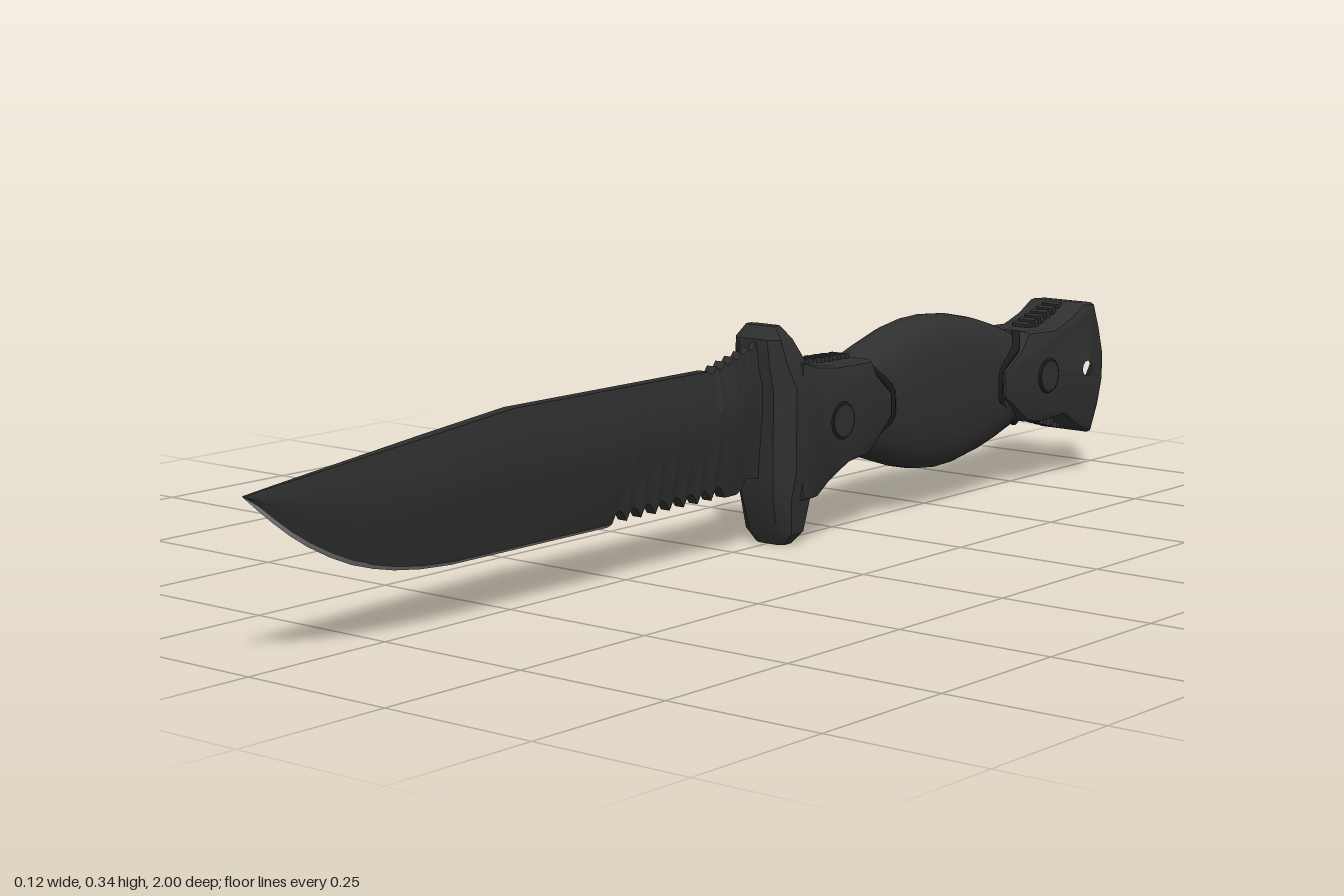
import * as THREE from 'three';
import { toCreasedNormals } from 'three/addons/utils/BufferGeometryUtils.js';

const mat = (name, color) => Object.assign(new THREE.MeshStandardMaterial({ color }), { name });

// Closed loft through rings of [x, y, z] points, wound outwards
function loft(rings, crease) {
  const n = rings[0].length, pos = rings.flat(2), idx = [];
  for (let i = 0; i < rings.length - 1; i++)
    for (let j = 0; j < n; j++) {
      const a = i * n + j, b = i * n + (j + 1) % n;
      idx.push(a, b, a + n, b, b + n, a + n);
    }
  const last = (rings.length - 1) * n;
  for (let j = 1; j < n - 1; j++) idx.push(0, j + 1, j, last, last + j, last + j + 1);
  const v = (i) => new THREE.Vector3().fromArray(pos, i * 3);
  let volume = 0;
  for (let i = 0; i < idx.length; i += 3) volume += v(idx[i]).dot(v(idx[i + 1]).cross(v(idx[i + 2])));
  if (volume < 0) idx.reverse();
  const g = new THREE.BufferGeometry();
  g.setAttribute('position', new THREE.Float32BufferAttribute(pos, 3));
  g.setIndex(idx);
  return toCreasedNormals(g, crease);
}

// Piecewise linear lookup in a table of [z, value], z falling
function lookup(table, z) {
  for (let i = 1; i < table.length; i++) {
    const [z0, a] = table[i - 1], [z1, b] = table[i];
    if (z >= z1) return a + (b - a) * THREE.MathUtils.clamp((z0 - z) / (z0 - z1), 0, 1);
  }
  return table[table.length - 1][1];
}

// Side profile in (z, y), extruded across x with chamfered rims
function slab(points, half, bevel, holes = []) {
  const shape = new THREE.Shape(points.map(([z, y]) => new THREE.Vector2(z, y)));
  for (const [z, y, r] of holes) shape.holes.push(new THREE.Path().absarc(z, y, r, 0, Math.PI * 2, true));
  const depth = 2 * (half - bevel);
  const g = new THREE.ExtrudeGeometry(shape, {
    depth, bevelThickness: bevel, bevelSize: bevel, bevelOffset: -bevel, bevelSegments: 2, curveSegments: 24,
  });
  g.translate(0, 0, -depth / 2).rotateY(-Math.PI / 2);
  return toCreasedNormals(g, 0.6);
}

export function createModel() {
  const model = new THREE.Group();
  const bladeMat = mat('black blade', 0x2e2e2e);
  const gripMat = mat('black handle', 0x303030);
  const seamMat = mat('dark seam', 0x1c1c1c);
  const edgeMat = mat('bare steel edge', 0x909090);
  const add = (name, geometry, material) => {
    const m = new THREE.Mesh(geometry, material);
    m.name = name;
    model.add(m);
    return m;
  };

  // Blade: clip point, curved belly, scalloped serrations, notched spine
  const spine = [[1, 0.24], [0.5, 0.29], [0.07, 0.29], [-0.05, 0.32], [-0.07, 0.32]];
  const belly = [[1, 0.237], [0.975, 0.216], [0.95, 0.196], [0.92, 0.174], [0.89, 0.155], [0.85, 0.134], [0.81, 0.117],
    [0.77, 0.105], [0.73, 0.096], [0.68, 0.089], [0.62, 0.085], [0, 0.085], [-0.01, 0.09], [-0.025, 0.105], [-0.07, 0.1]];
  const thick = [[1, 0.003], [0.9, 0.011], [0.65, 0.023], [0.02, 0.025], [-0.04, 0.014], [-0.07, 0.013]];
  const zs = new Set([...spine, ...belly, ...thick].map((p) => p[0]));
  const teeth = 8, z0 = 0.29, z1 = 0.03, notches = 6;
  for (let i = 0; i <= teeth * 4; i++) zs.add(z0 + (z1 - z0) * i / (teeth * 4));
  for (let i = 0; i <= notches * 4; i++) zs.add(0.07 - 0.12 * i / (notches * 4));
  const wave = (z, from, to, n) => (z < from && z > to ? Math.abs(Math.sin(Math.PI * n * (from - z) / (from - to))) : 0);
  const stations = [...zs].sort((a, b) => b - a).map((z) => ({
    z,
    top: lookup(spine, z) - 0.008 * wave(z, 0.07, -0.05, notches),
    bot: lookup(belly, z) + 0.018 * wave(z, z0, z1, teeth),
    t: lookup(thick, z),
  }));
  const bevelY = (s) => s.bot + Math.min(0.006, 0.3 * (s.top - s.bot));
  add('blade', loft(stations.map((s) => {
    const h = s.top - s.bot, low = bevelY(s);
    const side = [[0.4, s.top], [1, s.top - 0.3 * h], [1, s.bot + 0.5 * h], [0.35, low]];
    return [...side.map(([k, y]) => [k * s.t, y, s.z]), ...side.reverse().map(([k, y]) => [-k * s.t, y, s.z])];
  }), 0.3), bladeMat);
  add('sharpEdge', loft(stations.filter((s) => s.z >= z0 - 1e-6).map((s) => [
    [0.35 * s.t, bevelY(s), s.z], [0, s.bot, s.z], [-0.35 * s.t, bevelY(s), s.z],
  ]), 0.3), edgeMat);

  // Cross guard: [y, front z, back z, half width]
  const guard = [[0, -0.085, -0.112, 0.028], [0.02, -0.075, -0.125, 0.045], [0.075, -0.06, -0.14, 0.051],
    [0.12, -0.055, -0.17, 0.058], [0.25, -0.055, -0.17, 0.058], [0.28, -0.05, -0.13, 0.053],
    [0.325, -0.05, -0.097, 0.044], [0.345, -0.062, -0.082, 0.028]];
  add('guard', loft(guard.map(([y, f, b, w]) => {
    const c = (f - b) * 0.25, side = [[0.6 * w, f], [w, f - c], [w, b + c * 0.6], [0.8 * w, b]];
    return [...side.map(([x, z]) => [x, y, z]), ...side.reverse().map(([x, z]) => [-x, y, z])];
  }), 0.5), gripMat);

  // Swelling grip: [z, top, bottom, half width]
  const grip = [[-0.25, 0.255, 0.13, 0.046], [-0.28, 0.266, 0.12, 0.048], [-0.33, 0.284, 0.1, 0.05],
    [-0.4, 0.305, 0.077, 0.053], [-0.45, 0.313, 0.066, 0.054], [-0.5, 0.315, 0.061, 0.054],
    [-0.55, 0.311, 0.063, 0.054], [-0.61, 0.299, 0.073, 0.053], [-0.66, 0.284, 0.086, 0.051],
    [-0.72, 0.262, 0.105, 0.048], [-0.76, 0.25, 0.12, 0.046]];
  const pow = (v) => Math.sign(v) * Math.abs(v) ** 0.7;
  add('grip', loft(grip.map(([z, top, bot, w]) => Array.from({ length: 28 }, (_, i) => {
    const a = i / 28 * Math.PI * 2;
    return [w * pow(Math.cos(a)), (top + bot) / 2 + (top - bot) / 2 * pow(Math.sin(a)), z];
  })), 0.7), gripMat);

  // Front collar and pommel with lanyard hole
  add('frontCollar', slab([[-0.1, 0.29], [-0.14, 0.278], [-0.19, 0.272], [-0.28, 0.271], [-0.295, 0.245], [-0.335, 0.212],
    [-0.335, 0.172], [-0.275, 0.12], [-0.22, 0.113], [-0.17, 0.09], [-0.14, 0.07], [-0.1, 0.07]].reverse(), 0.059, 0.012), gripMat);
  add('pommel', slab([[-0.72, 0.265], [-0.8, 0.262], [-0.85, 0.278], [-0.885, 0.297], [-0.92, 0.294], [-0.937, 0.25],
    [-0.95, 0.205], [-0.95, 0.16], [-0.937, 0.115], [-0.915, 0.068], [-0.88, 0.08], [-0.83, 0.109], [-0.76, 0.105],
    [-0.72, 0.112], [-0.65, 0.162], [-0.65, 0.205], [-0.695, 0.235]].reverse(), 0.058, 0.012, [[-0.895, 0.183, 0.025]]), gripMat);

  // Seams around the collars, and bolts, on both sides
  const seams = [
    [[-0.283, 0.265], [-0.3, 0.245], [-0.34, 0.214], [-0.34, 0.17], [-0.28, 0.12]],
    [[-0.715, 0.262], [-0.69, 0.238], [-0.645, 0.207], [-0.645, 0.16], [-0.715, 0.112]],
  ];
  for (const s of [-1, 1]) {
    for (const points of seams) {
      const path = new THREE.CatmullRomCurve3(points.map(([z, y], i) =>
        new THREE.Vector3(s * (i % 4 ? 0.046 : 0.03), y, z)), false, 'catmullrom', 0.2);
      add('collarSeam', new THREE.TubeGeometry(path, 32, 0.008, 8), seamMat);
    }
    for (const z of [-0.2, -0.775]) {
      const bolt = add('bolt', new THREE.CylinderGeometry(0.025, 0.025, 0.01, 24), gripMat);
      bolt.rotation.z = Math.PI / 2;
      bolt.position.set(s * 0.056, 0.185, z);
      const ring = add('boltRing', new THREE.TorusGeometry(0.027, 0.003, 8, 32), seamMat);
      ring.rotation.y = Math.PI / 2;
      ring.position.set(s * 0.058, 0.185, z);
    }
  }

  // Thumb ribs along the handle's top and bottom
  const ribs = (za, ya, zb, yb, n) => {
    for (let i = 0; i < n; i++) {
      const k = i / (n - 1);
      const rib = add('thumbRib', new THREE.BoxGeometry(0.034, 0.016, 0.01), gripMat);
      rib.position.set(0, ya + (yb - ya) * k, za + (zb - za) * k);
      rib.rotation.x = -Math.atan2(yb - ya, zb - za) + Math.PI;
    }
  };
  ribs(-0.16, 0.273, -0.265, 0.27, 6);
  ribs(-0.78, 0.262, -0.87, 0.287, 6);
  ribs(-0.15, 0.078, -0.215, 0.111, 5);
  ribs(-0.79, 0.108, -0.87, 0.086, 5);

  // Pointed glass breaker
  const spike = add('glassBreaker', toCreasedNormals(new THREE.LatheGeometry(
    [[0.034, 0], [0.041, 0.02], [0.037, 0.028], [0.005, 0.06], [0, 0.06]].map(([r, y]) => new THREE.Vector2(r, y)), 8), 0.4), gripMat);
  spike.rotation.x = -Math.PI / 2;
  spike.position.set(0, 0.183, -0.94);
  return model;
}
